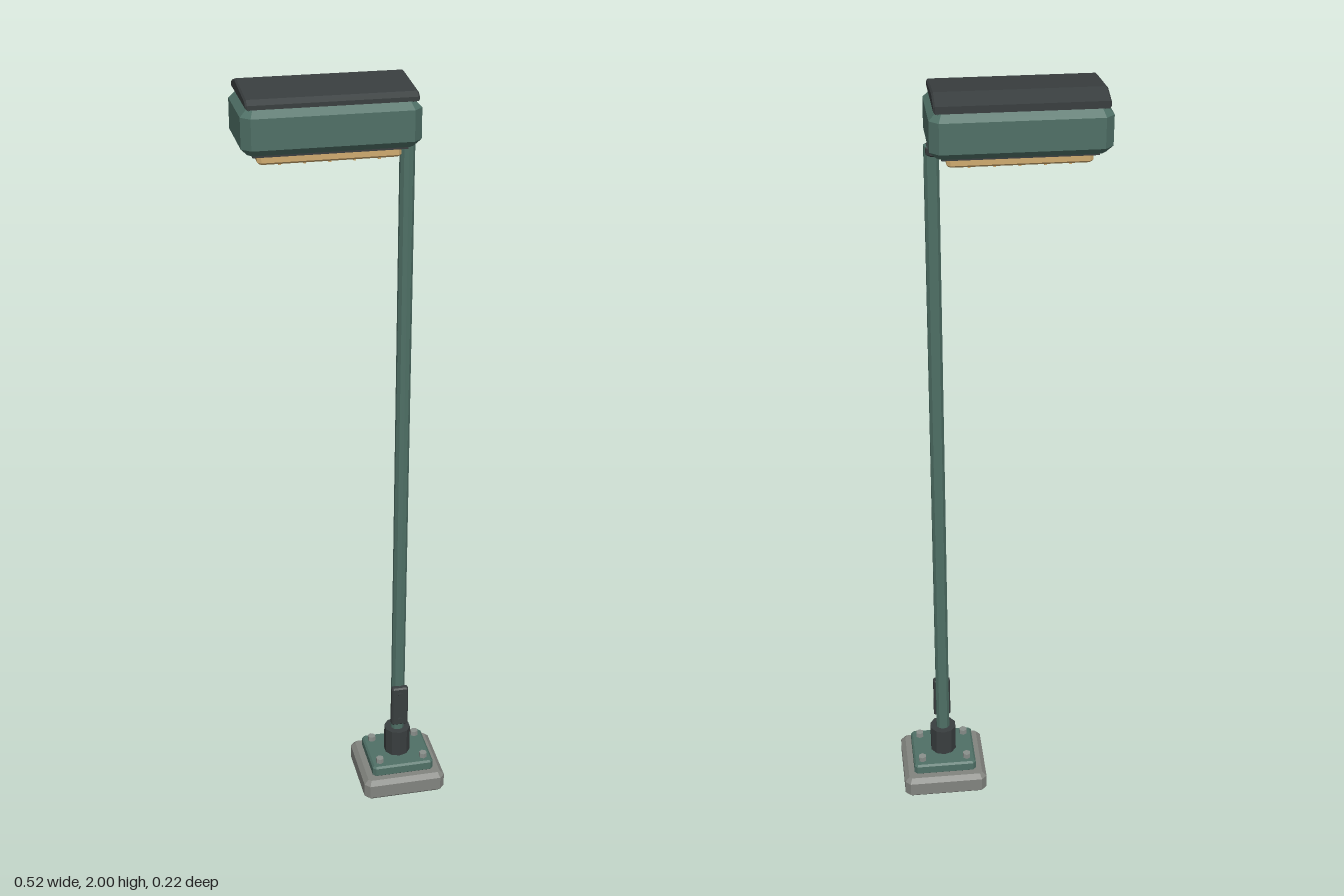
import * as THREE from 'three';

export function createModel() {
  const model = new THREE.Group();
  model.name = 'streetLamp';
  const material = (name, color) => {
    const m = new THREE.MeshStandardMaterial({ color });
    m.name = name;
    return m;
  };
  const green = material('paintedGreen', 0x4f7066);
  const dark = material('darkMetal', 0x393e3f);
  const stone = material('concrete', 0x82847f);
  const steel = material('boltSteel', 0x8a908c);
  const amber = material('amberLens', 0xcfab70);
  const POLE_X = 0.144;

  function add(name, geometry, mat, x = 0, y = 0, z = 0, parent = model) {
    const mesh = new THREE.Mesh(geometry, mat);
    mesh.name = name;
    mesh.position.set(x, y, z);
    parent.add(mesh);
    return mesh;
  }

  // Faceted cylinder with flat normals
  function facets(rTop, rBottom, h, sides) {
    const g = new THREE.CylinderGeometry(rTop, rBottom, h, sides).toNonIndexed();
    g.computeVertexNormals();
    return g;
  }

  // Extrusion whose single-step bevel stays inside the given outline and depth
  function bevelled(shape, depth, bevel) {
    const g = new THREE.ExtrudeGeometry(shape, {
      depth: depth - 2 * bevel, bevelEnabled: true, bevelThickness: bevel,
      bevelSize: bevel, bevelOffset: -bevel, bevelSegments: 1, steps: 1,
    });
    g.translate(0, 0, -depth / 2 + bevel);
    return g;
  }

  // Block with cut vertical corners and chamfered top and bottom edges
  function block(w, h, d, corner, bevel) {
    const x = w / 2, z = d / 2, c = corner;
    const shape = new THREE.Shape([
      [x, -z + c], [x, z - c], [x - c, z], [-x + c, z],
      [-x, z - c], [-x, -z + c], [-x + c, -z], [x - c, -z],
    ].map(([a, b]) => new THREE.Vector2(a, b)));
    return bevelled(shape, h, bevel).rotateX(-Math.PI / 2);
  }

  // Footing, base plate and anchor bolts
  add('footing', block(0.228, 0.062, 0.21, 0.014, 0.012), stone, 0.145, 0.031);
  add('basePlate', block(0.172, 0.032, 0.156, 0.008, 0.005), green, 0.145, 0.076);
  for (const sx of [-1, 1]) {
    for (const sz of [-1, 1]) {
      add('anchorBolt', facets(0.011, 0.011, 0.016, 6), steel,
        0.145 + sx * 0.062, 0.098, sz * 0.052);
    }
  }

  // Pole and its collar
  add('collar', facets(0.036, 0.036, 0.08, 10), dark, POLE_X, 0.13);
  add('pole', facets(0.0185, 0.0185, 1.7, 10), green, POLE_X, 1.012);

  // Service hatch with two screws
  add('serviceHatch', block(0.046, 0.122, 0.02, 0.004, 0.004), dark, POLE_X, 0.255, 0.021);
  for (const dy of [-0.042, 0.042]) {
    const screw = add('hatchScrew', facets(0.007, 0.007, 0.006, 6), dark,
      POLE_X, 0.255 + dy, 0.033);
    screw.rotation.x = Math.PI / 2;
  }

  // Lamp head
  const head = new THREE.Group();
  head.name = 'lampHead';
  model.add(head);
  const HEAD_X = -0.053;
  add('housing', block(0.416, 0.104, 0.218, 0.021, 0.016), green, HEAD_X, 1.911, 0, head);
  add('roofGasket', new THREE.BoxGeometry(0.375, 0.012, 0.18), dark, HEAD_X, 1.966, 0, head);
  add('lensFrame', new THREE.BoxGeometry(0.36, 0.012, 0.155), dark, HEAD_X, 1.856, 0, head);
  add('poleSocket', block(0.05, 0.022, 0.05, 0.01, 0.004), dark, 0.133, 1.852, 0, head);

  // Off-centre ridged roof
  const roofProfile = new THREE.Shape([
    [0.108, 1.967], [0.108, 1.977], [0.093, 1.987], [-0.05, 2.0],
    [-0.105, 1.984], [-0.105, 1.967],
  ].map(([z, y]) => new THREE.Vector2(z, y)));
  add('roof', bevelled(roofProfile, 0.396, 0.004).rotateY(-Math.PI / 2), dark,
    HEAD_X, 0, 0, head);

  // Lens with cross ribs underneath
  add('lens', block(0.335, 0.024, 0.142, 0.008, 0.005), amber, HEAD_X, 1.842, 0, head);
  for (let i = -2; i <= 2; i++) {
    add('lensRib', new THREE.BoxGeometry(0.006, 0.006, 0.125), amber,
      HEAD_X + i * 0.058, 1.829, 0, head);
  }
  return model;
}
